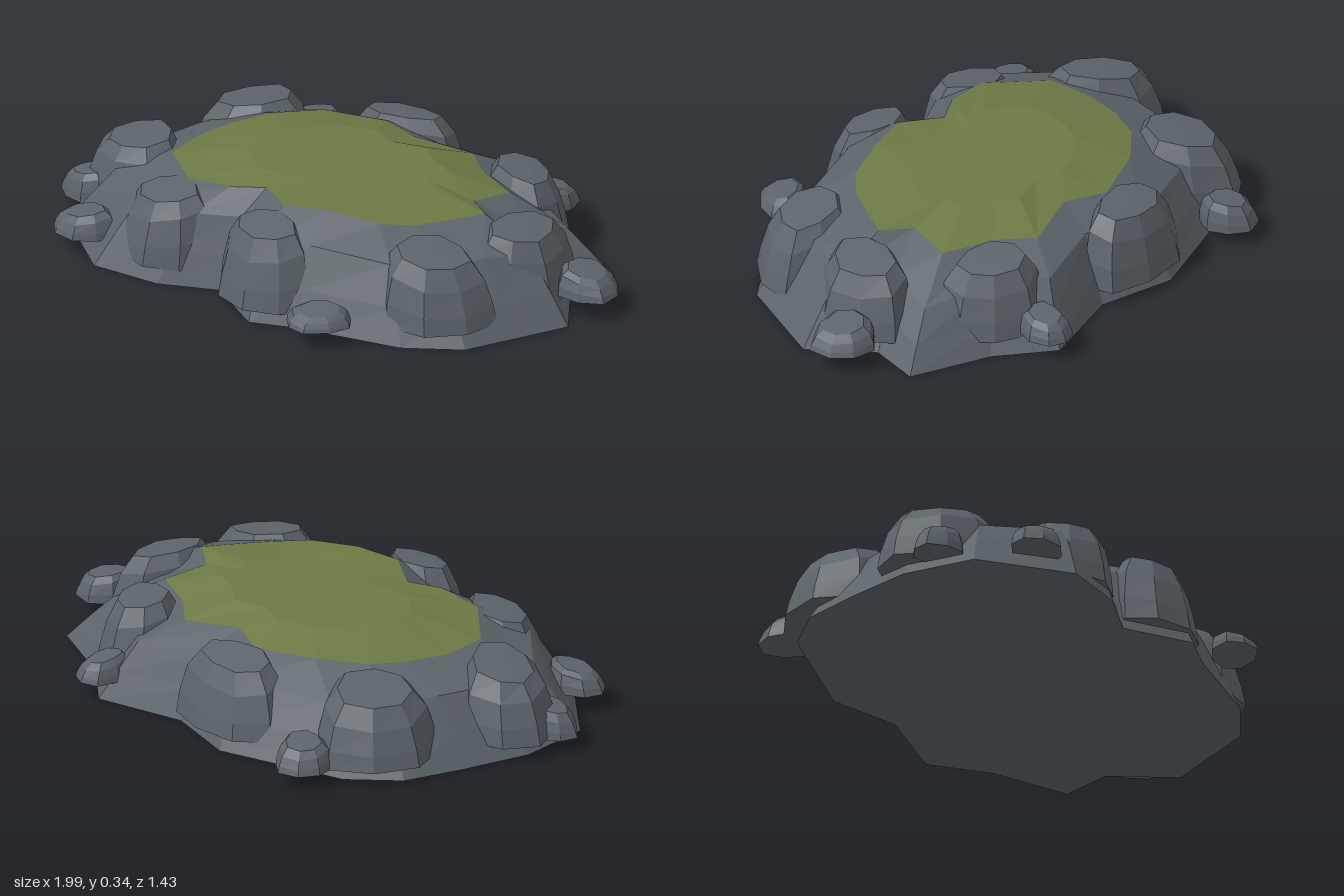
import * as THREE from 'three';

const stone = new THREE.MeshStandardMaterial({ color: 0x5c646a, flatShading: true });
const grass = new THREE.MeshStandardMaterial({ color: 0x6b7a45, flatShading: true });

// Joins rings of [x, y, z] points from low to high; optional end points close the ends.
function loft(rings, bottom, top) {
  const n = rings[0].length, pos = [];
  const tri = (a, b, c) => pos.push(...a, ...b, ...c);
  for (let i = 0; i < n; i++) {
    const j = (i + 1) % n;
    for (let k = 0; k + 1 < rings.length; k++) {
      const lo = rings[k], hi = rings[k + 1];
      tri(lo[i], hi[i], lo[j]);
      tri(lo[j], hi[i], hi[j]);
    }
    if (bottom) tri(bottom, rings[0][i], rings[0][j]);
    if (top) tri(top, rings.at(-1)[j], rings.at(-1)[i]);
  }
  const g = new THREE.BufferGeometry();
  g.setAttribute('position', new THREE.Float32BufferAttribute(pos, 3));
  g.computeVertexNormals();
  return g;
}

function add(group, name, geometry, material) {
  const mesh = new THREE.Mesh(geometry, material);
  mesh.name = name;
  group.add(mesh);
}

// Each spoke: foot x, foot z, turf edge x, turf edge z, turf edge height, shoulder fullness
const spokes = [
  [0.93, -0.06, 0.56, -0.04, 0.31, 0.72], [0.86, 0.14, 0.51, 0.07, 0.31, 0.77],
  [0.8, 0.31, 0.45, 0.19, 0.31, 0.77], [0.63, 0.45, 0.37, 0.28, 0.32, 0.77],
  [0.27, 0.58, 0.2, 0.35, 0.34, 0.77], [0.12, 0.66, 0.05, 0.41, 0.33, 0.77],
  [-0.12, 0.55, -0.1, 0.34, 0.32, 0.77], [-0.31, 0.66, -0.2, 0.41, 0.315, 0.77],
  [-0.56, 0.705, -0.37, 0.44, 0.3, 0.77], [-0.87, 0.51, -0.57, 0.31, 0.285, 0.72],
  [-0.93, 0.25, -0.6, 0.15, 0.28, 0.77], [-0.9, 0, -0.58, 0, 0.285, 0.77],
  [-0.86, -0.22, -0.53, -0.13, 0.29, 0.75], [-0.73, -0.38, -0.4, -0.26, 0.3, 0.72],
  [-0.29, -0.58, -0.2, -0.36, 0.29, 0.77], [-0.01, -0.54, -0.04, -0.32, 0.3, 0.77],
  [0.3, -0.66, 0.16, -0.4, 0.275, 0.75], [0.5, -0.53, 0.28, -0.32, 0.28, 0.75],
  [0.79, -0.44, 0.47, -0.26, 0.28, 0.62], [0.76, -0.25, 0.45, -0.1, 0.3, 0.72],
];

// Boulders: x, z, half length, half width, turn, bottom, top
const boulders = [
  [-0.775, 0.27, 0.22, 0.17, 0.45, 0.05, 0.275],
  [-0.695, -0.22, 0.195, 0.215, 0.2, 0.05, 0.275],
  [-0.4, 0.53, 0.19, 0.14, 0.1, 0.05, 0.28],
  [0.07, 0.535, 0.185, 0.13, 0, 0.04, 0.3],
  [0.62, 0.27, 0.205, 0.16, -0.5, 0.05, 0.285],
  [0.7, -0.1, 0.145, 0.2, 0.1, 0.05, 0.28],
  [0.4, -0.43, 0.19, 0.14, 0.4, 0.05, 0.29],
  [-0.22, -0.47, 0.22, 0.13, -0.2, 0.05, 0.29],
];
const smallRocks = [
  [-0.65, -0.49, 0.1, 0.1, 0.3, 0.05, 0.14],
  [-0.9, 0.38, 0.1, 0.08, 0.2, 0.045, 0.14],
  [-0.68, 0.63, 0.115, 0.085, -0.25, 0.065, 0.145],
  [0.4, 0.61, 0.115, 0.08, -0.8, 0.07, 0.125],
  [0.885, -0.21, 0.115, 0.11, 0.2, 0.07, 0.15],
  [0.33, -0.62, 0.08, 0.1, 0, 0.065, 0.14],
];

// Faceted dome with a flat underside and a crown that leans down and outwards
function rock([x, z, rx, rz, turn, bottom, top], seed) {
  const sides = 8, far = Math.hypot(x, z);
  const profile = [[1, 0], [0.96, 0.35], [0.84, 0.75], [0.62, 1]];
  const rings = profile.map(([r, h], k) => Array.from({ length: sides }, (_, i) => {
    const a = (i / sides) * Math.PI * 2 + seed;
    const wobble = 1 + 0.06 * Math.sin(i * 2.7 + seed * 3.1);
    const lift = k === 1 || k === 2 ? 0.06 * Math.sin(a + seed) : 0;
    const u = Math.cos(a) * rx * r * wobble, v = Math.sin(a) * rz * r * wobble;
    const dx = u * Math.cos(turn) - v * Math.sin(turn);
    const dz = u * Math.sin(turn) + v * Math.cos(turn);
    const outward = (dx * x + dz * z) / far;
    const inset = 0.08 * (top - bottom) * h / far;
    return [
      x * (1 - inset) + dx,
      bottom + (top - bottom) * (h + lift) - 0.2 * h * outward,
      z * (1 - inset) + dz,
    ];
  }));
  return loft(rings, [x, bottom, z], [x, top, z]);
}

export function createModel() {
  const model = new THREE.Group();
  model.name = 'rockyMound';

  // Stone body: flared foot, steep wall, sloping shoulder
  const ring = (t, height) => spokes.map(([bx, bz, tx, tz, ty, full]) =>
    [bx + (tx - bx) * t, ty * height(full), bz + (tz - bz) * t]);
  const edge = ring(1, () => 1);
  const body = [ring(0, () => 0), ring(0.21, (f) => f * 0.47), ring(0.46, (f) => f), edge];
  add(model, 'moundBody', loft(body, [0, 0, 0]), stone);

  // Turf: gently rising rim around a flat middle
  const inner = spokes.map(([, , x, z]) => [x * 0.6, 0.332, z * 0.6]);
  add(model, 'turf', loft([edge, inner], null, [0, 0.33, 0]), grass);

  // Rocks set into the flanks, and smaller ones around the foot
  boulders.forEach((b, i) => add(model, 'boulder' + (i + 1), rock(b, i * 0.9 + 0.3), stone));
  smallRocks.forEach((b, i) => add(model, 'smallRock' + (i + 1), rock(b, i * 1.3 + 0.5), stone));
  return model;
}
